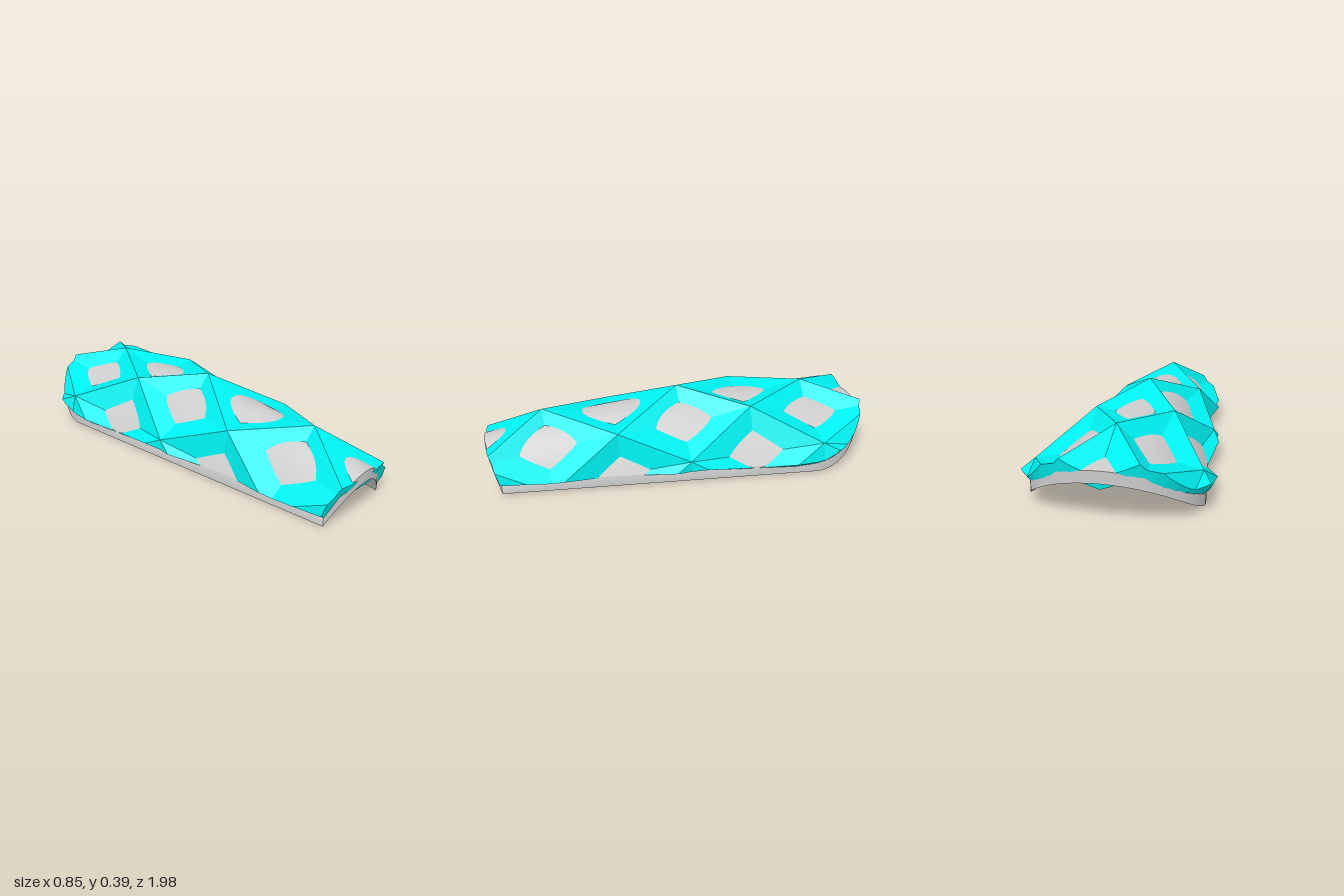
import * as THREE from 'three';
import { toCreasedNormals } from 'three/addons/utils/BufferGeometryUtils.js';

const THICK = 0.055;
const STEPS = 48;

// Arched, tapering guard: half width, crown height and underside height
const halfWidth = (z) => 0.316 - 0.114 * z;
const crown = (z) => 0.273 - 0.1 * z * z - 0.008 * z;
const underside = (x, z) => crown(z) * (1 - (x / halfWidth(z)) ** 2);
const topY = (x, z) => underside(x, z) + THICK;

// End curves, with f running -1..1 across the width
const frontZ = (f) => 0.93 + 0.062 * (1 - f * f);
const backZ = (f) => -0.65 - 0.342 * Math.sqrt(Math.max(0, 1 - f * f));
const across = (i) => Math.sin(Math.PI * (i / STEPS - 0.5));

// Writes a convex polygon as a triangle fan
function fan(out, pts) {
  for (let k = 1; k < pts.length - 1; k++) {
    for (const p of [pts[0], pts[k], pts[k + 1]]) out.push(p.x, p.y, p.z);
  }
}

function toGeometry(positions) {
  const g = new THREE.BufferGeometry();
  g.setAttribute('position', new THREE.Float32BufferAttribute(positions, 3));
  g.computeVertexNormals();
  return g;
}

// Smooth arched plate with constant vertical thickness
function shellGeometry() {
  const rows = 40;
  const out = [];
  const point = (i, r, lift) => {
    const f = across(i);
    const z = THREE.MathUtils.lerp(backZ(f), frontZ(f), r / rows);
    const x = f * halfWidth(z);
    return new THREE.Vector3(x, underside(x, z) + lift, z);
  };
  const wall = (i0, r0, i1, r1) => fan(out, [
    point(i0, r0, THICK), point(i0, r0, 0), point(i1, r1, 0), point(i1, r1, THICK),
  ]);
  for (let i = 0; i < STEPS; i++) {
    for (let r = 0; r < rows; r++) {
      const quad = (lift) => [
        point(i, r, lift), point(i, r + 1, lift),
        point(i + 1, r + 1, lift), point(i + 1, r, lift),
      ];
      fan(out, quad(THICK));
      fan(out, quad(0).reverse());
    }
    wall(i, rows, i + 1, rows);
    wall(i + 1, 0, i, 0);
  }
  for (let r = 0; r < rows; r++) {
    wall(0, r, 0, r + 1);
    wall(STEPS, r + 1, STEPS, r);
  }
  return toCreasedNormals(toGeometry(out), 0.6);
}

// Convex plan outline of the plate, as a list of edges
function outlineEdges() {
  const pts = [];
  const add = (f, z) => pts.push({ x: f * halfWidth(z), z });
  for (let i = 0; i <= STEPS; i += 2) add(across(i), frontZ(across(i)));
  for (let i = STEPS; i >= 0; i -= 2) add(across(i), backZ(across(i)));
  return pts.map((a, k) => {
    const b = pts[(k + 1) % pts.length];
    const len = Math.hypot(b.x - a.x, b.z - a.z);
    return { a, dx: (b.x - a.x) / len, dz: (b.z - a.z) / len };
  });
}

// Signed distance inside an edge
const inside = (e, p) => e.dz * (p.x - e.a.x) - e.dx * (p.z - e.a.z);

const mix = (p, q, k) => ({
  x: p.x + (q.x - p.x) * k,
  z: p.z + (q.z - p.z) * k,
  top: p.top.clone().lerp(q.top, k),
  low: p.low.clone().lerp(q.low, k),
});

function clip(poly, edges) {
  for (const e of edges) {
    const next = [];
    poly.forEach((p, k) => {
      const q = poly[(k + 1) % poly.length];
      const dp = inside(e, p);
      const dq = inside(e, q);
      if (dp >= 0) next.push(p);
      if ((dp >= 0) !== (dq >= 0)) next.push(mix(p, q, dp / (dp - dq)));
    });
    poly = next;
    if (poly.length < 3) return [];
  }
  return poly;
}

// Distance s along the arch at z, turned into x
function arcToX(s, z) {
  const slope = (2 * crown(z)) / halfWidth(z) ** 2;
  const step = Math.abs(s) / 200;
  let x = 0;
  for (let k = 0; k < 200; k++) x += step / Math.hypot(1, slope * x);
  return Math.sign(s) * x;
}

// Lattice point: raised where four diamonds meet, sunk at diamond centres
const innerColumn = [0.19, 0.18, 0.17, 0.185, 0.2, 0.17, 0.18];
function latticePoint(i, j) {
  const z = i * 0.344;
  const s = Math.sign(j) * [0, innerColumn[i + 3], 0.39, 0.6][Math.abs(j)];
  const x = arcToX(s, z);
  const e = 0.001;
  const n = new THREE.Vector3(
    (topY(x - e, z) - topY(x + e, z)) / (2 * e), 1,
    (topY(x, z - e) - topY(x, z + e)) / (2 * e),
  ).normalize();
  const base = new THREE.Vector3(x, topY(x, z), z);
  const raised = (i + j) % 2 === 0;
  return {
    x, z,
    top: base.clone().addScaledVector(n, raised ? 0.062 : -0.042),
    low: base.clone().addScaledVector(n, raised ? 0 : -0.098),
  };
}

// Faceted diamond padding, trimmed to the plate outline and closed at its rim
function paddingGeometry() {
  const edges = outlineEdges();
  const out = [];
  const facet = (...tri) => {
    const poly = clip(tri, edges);
    if (poly.length < 3) return;
    fan(out, poly.map((p) => p.top));
    fan(out, poly.map((p) => p.low).reverse());
    poly.forEach((p, k) => {
      const q = poly[(k + 1) % poly.length];
      const onRim = edges.some((e) =>
        Math.abs(inside(e, p)) < 1e-6 && Math.abs(inside(e, q)) < 1e-6);
      if (onRim) fan(out, [p.top, p.low, q.low, q.top]);
    });
  };
  for (let i = -3; i < 3; i++) {
    for (let j = -3; j < 3; j++) {
      const a = latticePoint(i, j);
      const b = latticePoint(i + 1, j);
      const c = latticePoint(i + 1, j + 1);
      const d = latticePoint(i, j + 1);
      // The ridge joins the two raised corners
      if ((i + j) % 2 === 0) {
        facet(a, b, c);
        facet(a, c, d);
      } else {
        facet(a, b, d);
        facet(b, c, d);
      }
    }
  }
  return toGeometry(out);
}

export function createModel() {
  const group = new THREE.Group();
  group.name = 'quiltedGuard';

  const shell = new THREE.Mesh(
    shellGeometry(),
    new THREE.MeshStandardMaterial({ color: 0xcccccc }),
  );
  shell.name = 'shell';

  const padding = new THREE.Mesh(
    paddingGeometry(),
    new THREE.MeshStandardMaterial({ color: 0x00f0f0, flatShading: true, side: THREE.DoubleSide }),
  );
  padding.name = 'diamondPadding';

  group.add(shell, padding);
  return group;
}
